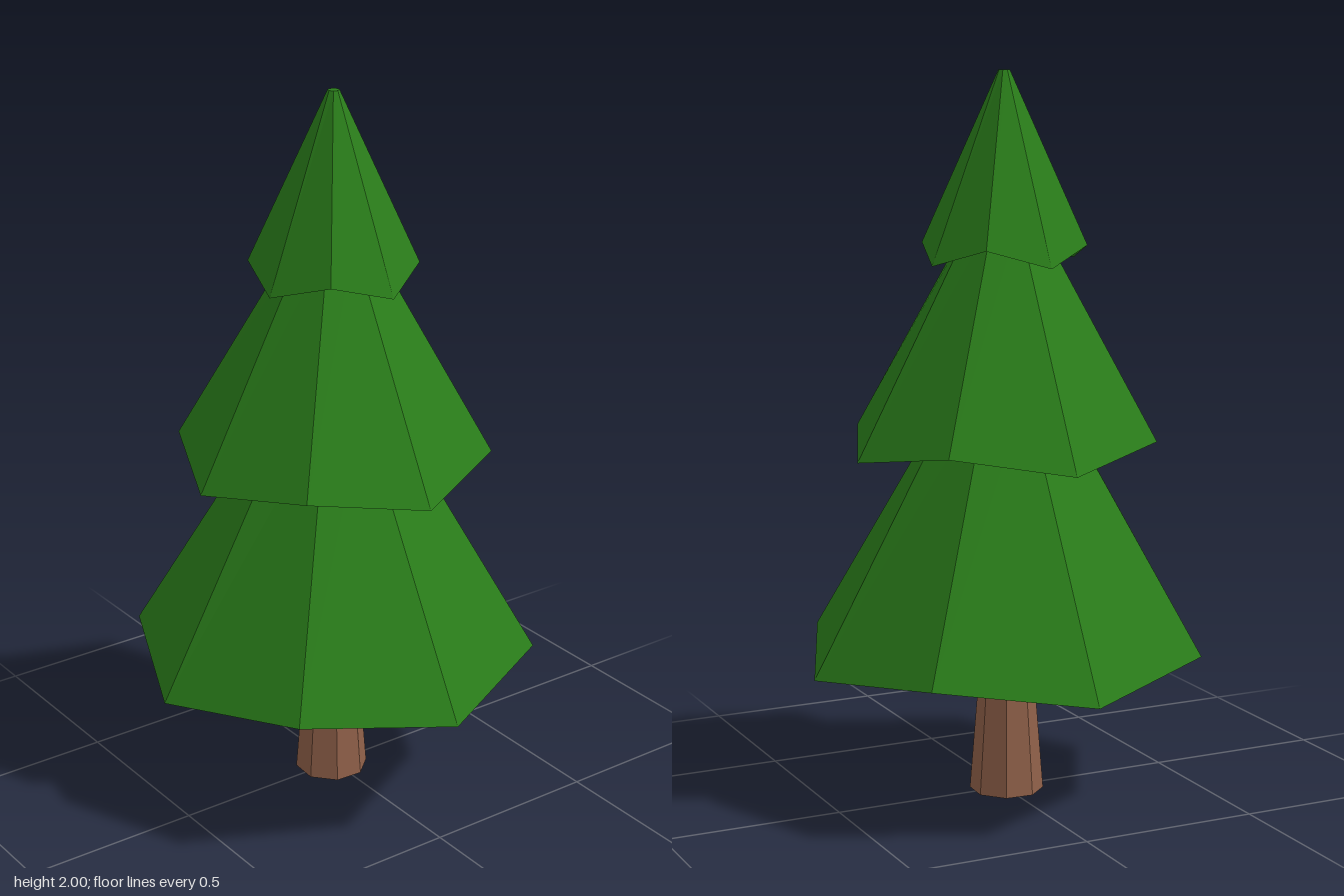
import * as THREE from 'three';

const SIDES = 8;

// Eight-sided skirt of foliage: zigzag rim, small flat top, hollowed underside
function tier(name, material, { radius, low, high, hollow, topRadius, topY, turn = 0 }) {
  const pos = [];
  const index = [];
  for (let i = 0; i < SIDES; i++) {
    const a = turn + (i / SIDES) * Math.PI * 2;
    const c = Math.cos(a), s = Math.sin(a);
    pos.push(radius * c, i % 2 ? high : low, radius * s);
    pos.push(topRadius * c, topY, topRadius * s);
  }
  const under = SIDES * 2, crown = under + 1;
  pos.push(0, hollow, 0, 0, topY, 0);
  for (let i = 0; i < SIDES; i++) {
    const r0 = i * 2, t0 = r0 + 1;
    const r1 = ((i + 1) % SIDES) * 2, t1 = r1 + 1;
    index.push(r0, t0, r1, t0, t1, r1); // slope
    index.push(under, r0, r1);          // underside
    index.push(crown, t1, t0);          // top
  }
  const indexed = new THREE.BufferGeometry();
  indexed.setAttribute('position', new THREE.Float32BufferAttribute(pos, 3));
  indexed.setIndex(index);
  const geometry = indexed.toNonIndexed();
  geometry.computeVertexNormals();
  const mesh = new THREE.Mesh(geometry, material);
  mesh.name = name;
  return mesh;
}

export function createModel() {
  const group = new THREE.Group();
  group.name = 'pineTree';
  const green = new THREE.MeshStandardMaterial({ color: 0x2a7d1a, flatShading: true });
  const brown = new THREE.MeshStandardMaterial({ color: 0x8f6049, flatShading: true });

  // Trunk, narrowing at a waist and flaring again under the foliage
  const profile = [[0, 0], [0.103, 0], [0.081, 0.28], [0.098, 0.48], [0, 0.48]]
    .map(([r, y]) => new THREE.Vector2(r, y));
  const trunk = new THREE.Mesh(new THREE.LatheGeometry(profile, SIDES, Math.PI / 8 - 0.06), brown);
  trunk.name = 'trunk';
  trunk.position.set(-0.003, 0, 0.006);
  group.add(trunk);

  // Foliage, from the ground up
  group.add(
    tier('lowerFoliage', green, { radius: 0.567, low: 0.38, high: 0.43, hollow: 0.47, topRadius: 0.135, topY: 1.15 }),
    tier('middleFoliage', green, { radius: 0.435, low: 0.965, high: 1.015, hollow: 1.05, topRadius: 0.09, topY: 1.61 }),
    tier('topFoliage', green, { radius: 0.229, low: 1.485, high: 1.535, hollow: 1.57, topRadius: 0.016, topY: 2, turn: -0.13 }),
  );
  return group;
}
